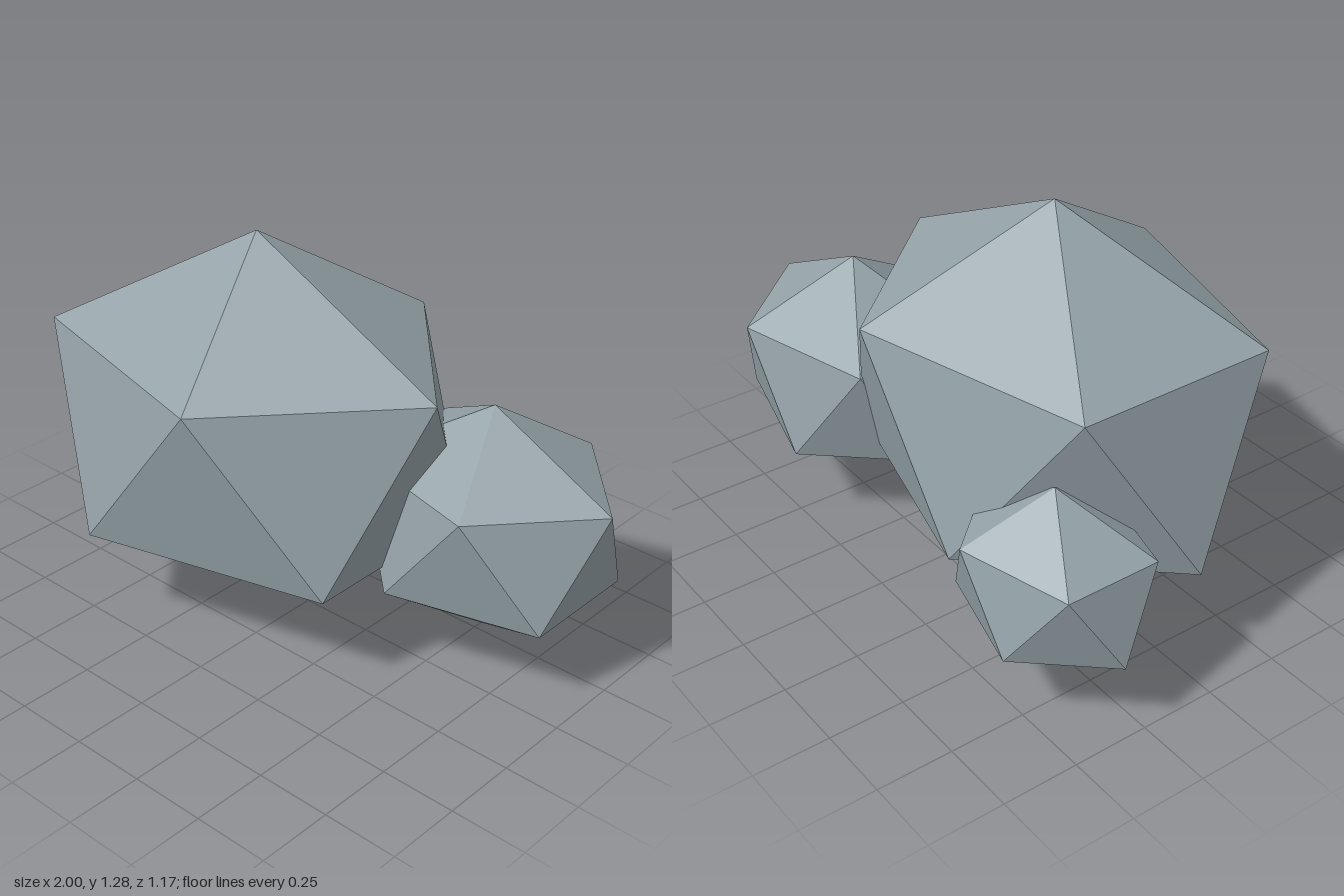
import * as THREE from 'three';

// Unit icosahedron standing on a point, with one upper-ring corner towards +x
function rockGeometry(rx, ry, rz) {
  const geometry = new THREE.IcosahedronGeometry(1, 0);
  geometry.rotateZ(-Math.atan(2 / (1 + Math.sqrt(5))));
  geometry.scale(rx, ry, rz);
  geometry.computeVertexNormals();
  return geometry;
}

export function createModel() {
  const group = new THREE.Group();
  group.name = 'rockCluster';
  const stone = new THREE.MeshStandardMaterial({ color: 0x94a2a8, flatShading: true });
  stone.name = 'blue grey stone';

  // Name, radii, centre
  const rocks = [
    ['largeRock', [0.797, 0.638, 0.641], [-0.18, 0.64, 0.035]],
    ['mediumRock', [0.487, 0.392, 0.393], [0.56, 0.458, -0.21]],
    ['smallRock', [0.369, 0.295, 0.299], [-0.67, 0.397, -0.332]],
  ];
  for (const [name, radii, centre] of rocks) {
    const rock = new THREE.Mesh(rockGeometry(...radii), stone);
    rock.name = name;
    rock.position.set(...centre);
    group.add(rock);
  }
  return group;
}
